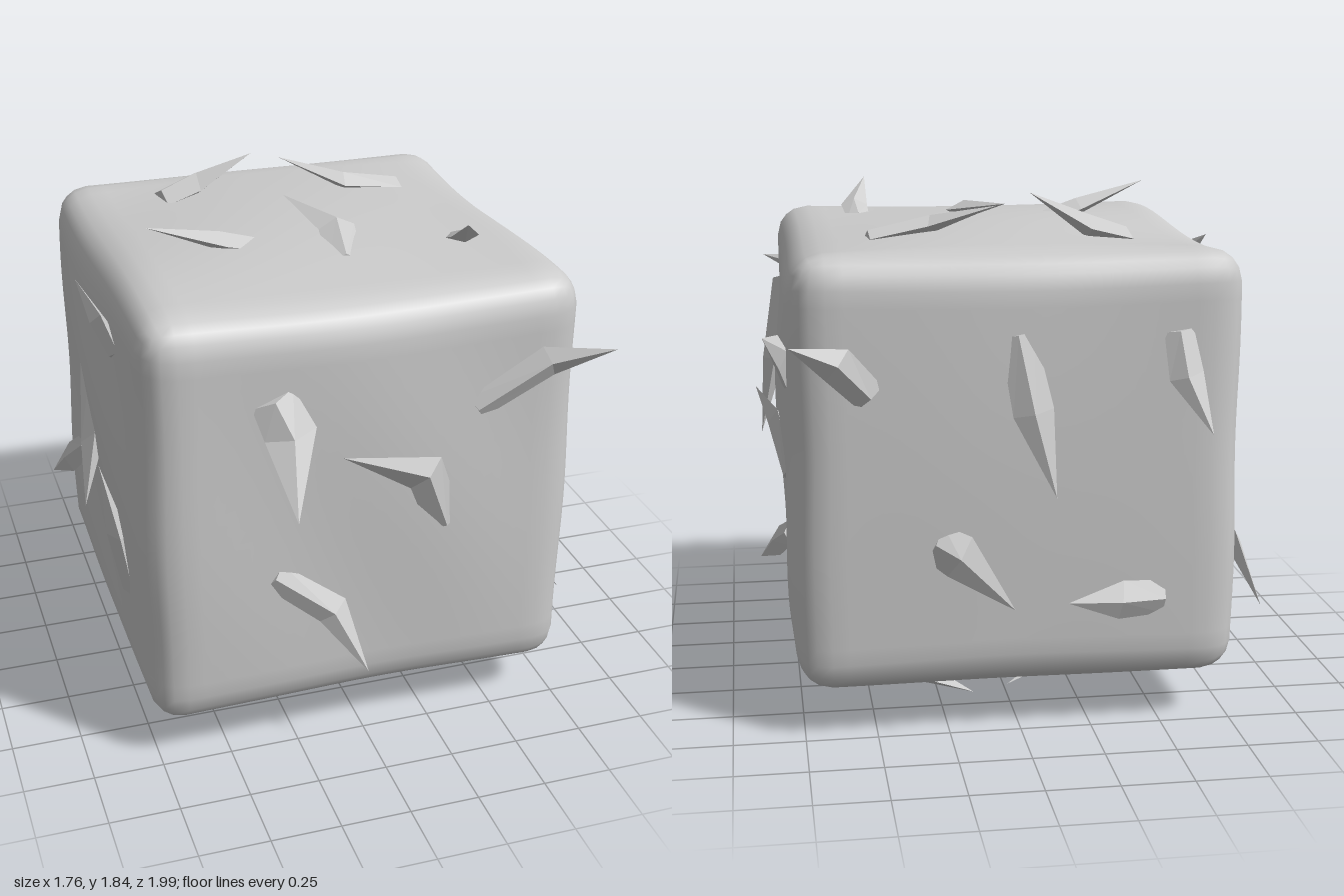
import * as THREE from 'three';
import { mergeVertices } from 'three/addons/utils/BufferGeometryUtils.js';

const CENTRE = 0.92, HALF = 0.77;
const V = (x, y, z) => new THREE.Vector3(x, y, z);

// Rounded cube with gently wavy faces
function makeBody(material) {
  let geo = new THREE.BoxGeometry(HALF * 2, HALF * 2, HALF * 2, 26, 26, 26);
  geo.deleteAttribute('uv');
  geo.deleteAttribute('normal');
  geo = mergeVertices(geo);
  const pos = geo.attributes.position, p = V(), r = 0.12, k = HALF - r;
  const arch = (t) => Math.cos((t * Math.PI) / 2 / HALF);
  for (let i = 0; i < pos.count; i++) {
    p.fromBufferAttribute(pos, i);
    const inner = p.clone().clampScalar(-k, k);
    p.sub(inner).normalize().multiplyScalar(r).add(inner);
    const { x, y, z } = p, ax = arch(x), ay = arch(y), az = arch(z);
    // faces bulge in the middle; top and bottom also dip along their edges, more so towards the back
    p.x += (x / HALF) * (0.028 * ay * az + 0.006 * Math.sin(y * 6 + z * 3) * (ay + az));
    p.y += (y / HALF) * (0.032 * ax * az - 0.02 * ax * (1 - az) - 0.04 * az * (1 - ax) * (0.6 - 2 * z));
    p.z += (z / HALF) * (0.014 * ax * ay + 0.004 * Math.sin(x * 6 + y * 3) * (ax + ay));
    pos.setXYZ(i, p.x, p.y, p.z);
  }
  geo.computeVertexNormals();
  const body = new THREE.Mesh(geo, material);
  body.name = 'body';
  body.position.y = CENTRE;
  return body;
}

// Bent four-sided shard: half-buried root, wide shoulder, sharp tip
function makeShard(root, shoulder, tip, width, normal, material) {
  const ring = (centre, dir, w, t) => {
    const s = normal.clone().cross(dir).normalize();
    return [[w, 0], [0, t], [-w, 0], [0, -t]].map(([a, b]) =>
      centre.clone().addScaledVector(s, a).addScaledVector(normal, b));
  };
  const d1 = shoulder.clone().sub(root), d2 = tip.clone().sub(shoulder);
  const a = ring(root, d1, width * 0.85, width * 0.4);
  const b = ring(shoulder, d1.normalize().add(d2.normalize()), width, width * 0.5);
  const pts = [];
  for (let i = 0; i < 4; i++) {
    const j = (i + 1) % 4;
    pts.push(a[i], a[j], b[j], a[i], b[j], b[i], b[i], b[j], tip);
  }
  pts.push(a[0], a[2], a[1], a[0], a[3], a[2]);
  const geo = new THREE.BufferGeometry().setFromPoints(pts);
  geo.computeVertexNormals();
  const mesh = new THREE.Mesh(geo, material);
  mesh.name = 'shard';
  return mesh;
}

// Per shard: root a,b | shoulder a,b | tip a,b | tip distance from the centre | half width
const FRONT = [
  [-0.34, 1.40, -0.29, 1.28, -0.32, 1.05, 0.99, 0.09],
  [0.28, 0.83, 0.19, 1.06, -0.13, 1.20, 0.87, 0.075],
  [0.38, 1.26, 0.62, 1.42, 0.83, 1.47, 0.89, 0.06],
  [-0.34, 0.72, -0.14, 0.57, -0.04, 0.36, 0.91, 0.06],
];
const LEFT = [
  [0.42, 1.44, 0.34, 1.14, 0.35, 0.84, 0.86, 0.085],
  [-0.22, 0.81, -0.06, 0.97, 0.18, 1.06, 0.88, 0.07],
  [0.15, 0.48, 0.28, 0.41, 0.49, 0.28, 0.88, 0.06],
  [-0.48, 1.20, -0.60, 1.34, -0.77, 1.42, 0.86, 0.065],
];
const RIGHT = [
  [0.38, 0.52, 0.38, 0.76, 0.35, 1.02, 0.85, 0.07],
  [-0.20, 1.18, -0.01, 0.93, 0.20, 0.78, 0.88, 0.085],
  [0.33, 1.42, 0.26, 1.52, 0.10, 1.62, 0.85, 0.06],
  [-0.38, 0.72, -0.54, 0.59, -0.76, 0.42, 0.85, 0.06],
];
const TOP = [
  [-0.42, -0.42, -0.28, -0.44, -0.08, -0.39, 0.92, 0.085],
  [0.48, -0.33, 0.26, -0.31, 0.04, -0.43, 0.88, 0.065],
  [0.04, 0.38, 0.08, 0.15, -0.04, -0.10, 0.85, 0.07],
  [-0.21, 0.14, -0.35, 0.16, -0.62, 0.21, 0.90, 0.07],
  [0.47, 0.27, 0.48, 0.37, 0.43, 0.51, 0.90, 0.05],
];
const BACK = [
  [0.51, 1.21, 0.62, 1.33, 0.78, 1.40, 0.86, 0.065],
  [0.02, 1.41, -0.03, 1.15, -0.10, 0.87, 0.87, 0.07],
  [-0.53, 1.41, -0.55, 1.26, -0.63, 1.07, 0.88, 0.06],
  [0.30, 0.70, 0.22, 0.66, 0.06, 0.53, 1.0, 0.08],
  [-0.50, 0.47, -0.34, 0.48, -0.13, 0.52, 0.93, 0.07],
];

export function createModel() {
  const model = new THREE.Group();
  model.name = 'spikyCube';
  const smooth = new THREE.MeshStandardMaterial({ color: 0xcccccc });
  const faceted = new THREE.MeshStandardMaterial({ color: 0xcccccc, flatShading: true });
  model.add(makeBody(smooth));

  // Shards grouped by face; place(a, b, h) maps face coordinates to space
  const addFace = (name, table, normal, place) => {
    const group = new THREE.Group();
    group.name = name;
    for (const [ra, rb, sa, sb, ta, tb, h, w] of table)
      group.add(makeShard(place(ra, rb, 0.765), place(sa, sb, 0.805), place(ta, tb, h), w, normal, faceted));
    model.add(group);
  };
  addFace('frontShards', FRONT, V(0, 0, 1), (a, b, h) => V(a, b, h));
  addFace('backShards', BACK, V(0, 0, -1), (a, b, h) => V(a, b, -h));
  addFace('leftShards', LEFT, V(1, 0, 0), (a, b, h) => V(h, b, a));
  addFace('rightShards', RIGHT, V(-1, 0, 0), (a, b, h) => V(-h, b, a));
  addFace('topShards', TOP, V(0, 1, 0), (a, b, h) => V(a, CENTRE + h, b));
  addFace('bottomShards', TOP, V(0, -1, 0), (a, b, h) => V(0.04 - a, CENTRE - h, b));
  return model;
}
